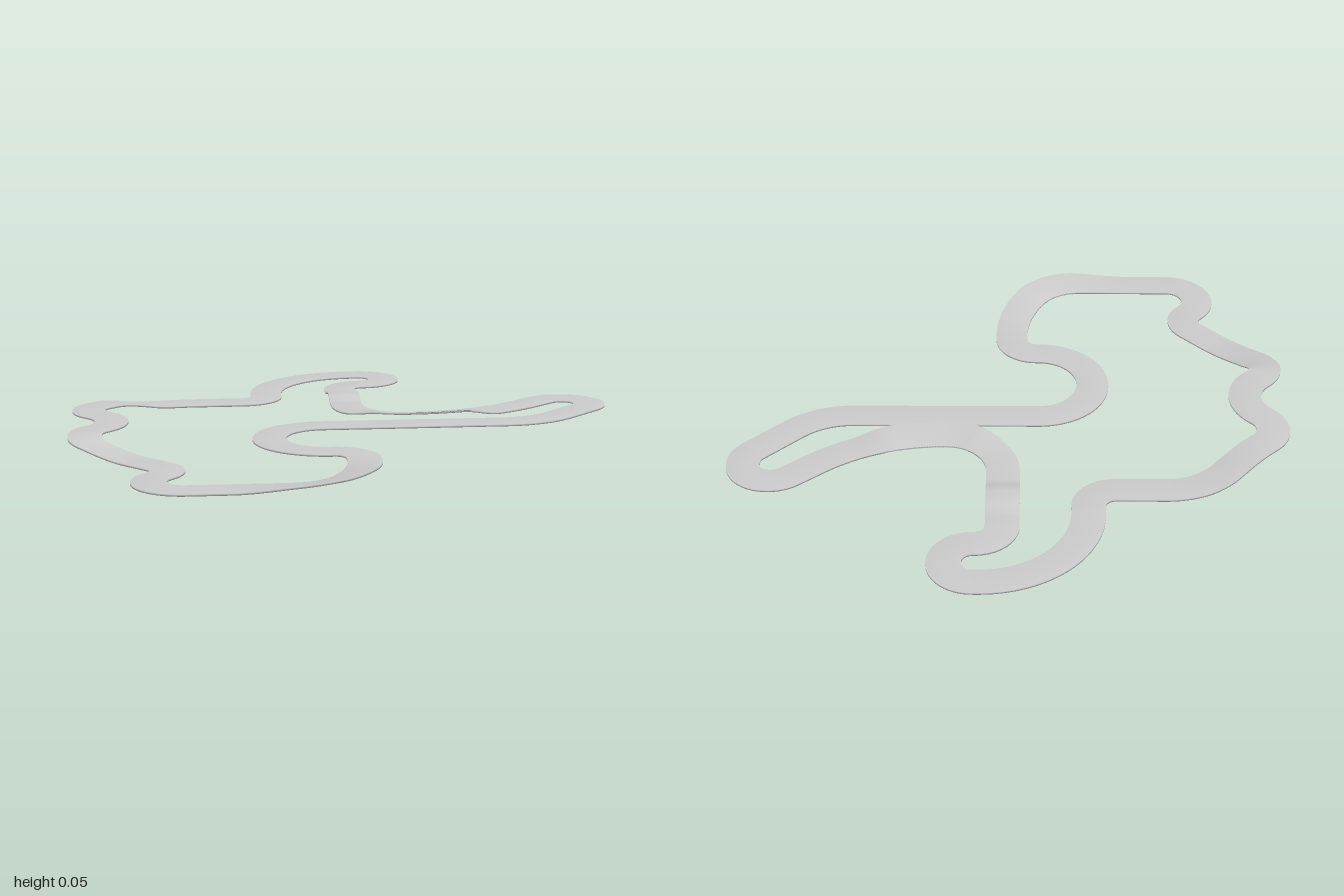
import * as THREE from 'three';

const HALF = 0.059;      // half width of the road
const THICK = 0.007;     // slab thickness
const RINGS = 720;       // cross-sections around the loop

// Corners of the centre line: x, z, bend radius
const CORNERS = [
  [-0.305, 0.013, 0.203], [-0.305, 0.42, 0.2], [-0.005, 0.42, 0.095],          // inner bends
  [-0.005, 0.67, 0.5], [-0.14, 0.911, 0.23],                                   // front sweep
  [-0.86, 0.907, 0.117], [-0.638, 0.64, 0.085],                                // chicane
  [-0.987, 0.268, 0.107], [-0.79, 0.072, 0.155], [-0.987, -0.123, 0.107],      // wavy side
  [-0.668, -0.422, 0.32], [-0.273, -0.422, 0.096],
  [-0.273, -0.914, 0.37], [0.214, -0.914, 0.097], [0.214, -0.717, 0.097],      // back loop
  [0.021, -0.717, 0.094], [0.021, -0.115, 0.203], [0.487, -0.115, 0.7],
  [0.797, -0.377, 0.096], [0.936, -0.377, 0.096], [0.936, -0.233, 0.096],      // far hairpin
  [0.69, 0.013, 0.3],
];

// Closed path of straights joined by arcs
function centreLine() {
  const path = new THREE.Path();
  const n = CORNERS.length;
  CORNERS.forEach(([x, z, r], i) => {
    const [px, pz] = CORNERS[(i + n - 1) % n], [qx, qz] = CORNERS[(i + 1) % n];
    const from = Math.atan2(z - pz, x - px), to = Math.atan2(qz - z, qx - x);
    const turn = Math.atan2(Math.sin(to - from), Math.cos(to - from));
    const side = Math.sign(turn), t = r * Math.tan(Math.abs(turn) / 2);
    const cx = x - t * Math.cos(from) - side * r * Math.sin(from);
    const cz = z - t * Math.sin(from) + side * r * Math.cos(from);
    const start = from - side * Math.PI / 2;
    path.absarc(cx, cz, r, start, start + turn, side < 0);
  });
  path.closePath();
  return path;
}

// Rises from a to b, stays level, falls from c to d
const plateau = (v, a, b, c, d) =>
  THREE.MathUtils.smoothstep(v, a, b) * (1 - THREE.MathUtils.smoothstep(v, c, d));

// Heights of the left and right road edges above the ground
function edgeLifts(x, z) {
  // raised wavy side
  if (x < -0.58) {
    const y = 0.044 * plateau(z, -0.43, -0.22, 0.2, 0.5);
    return [y, y];
  }
  // banked front sweep
  if (z > 0.5) {
    const rise = Math.min(THREE.MathUtils.smoothstep(z, 0.5, 0.85), THREE.MathUtils.smoothstep(x, -0.47, -0.15));
    return [0.022 * rise, 0];
  }
  // hump on the short straight
  if (Math.abs(x - 0.02) < 0.06 && z < -0.34 && z > -0.62) {
    const y = 0.018 * plateau(z, -0.57, -0.48, -0.45, -0.37);
    return [y, y];
  }
  // banked curve leading to the hairpin
  if (z < -0.08 && z > -0.35) return [0, 0.022 * plateau(x, 0.03, 0.14, 0.41, 0.55)];
  return [0, 0];
}

// Thin slab swept around the loop, four corners per cross-section
function roadGeometry() {
  const path = centreLine();
  const pos = [], index = [];
  for (let r = 0; r < RINGS; r++) {
    const c = path.getPoint(r / RINGS), d = path.getTangent(r / RINGS).multiplyScalar(HALF);
    const [yl, yr] = edgeLifts(c.x, c.y);
    const lx = c.x + d.y, lz = c.y - d.x, rx = c.x - d.y, rz = c.y + d.x;
    pos.push(lx, yl + THICK, lz, rx, yr + THICK, rz, rx, yr, rz, lx, yl, lz);
    const a = r * 4, b = ((r + 1) % RINGS) * 4;
    for (let k = 0; k < 4; k++) {
      const m = (k + 1) % 4;
      index.push(a + k, a + m, b + m, a + k, b + m, b + k);
    }
  }
  const g = new THREE.BufferGeometry();
  g.setAttribute('position', new THREE.Float32BufferAttribute(pos, 3));
  g.setIndex(index);
  g.computeVertexNormals();
  return g;
}

export function createModel() {
  const group = new THREE.Group();
  group.name = 'raceCircuit';
  const road = new THREE.Mesh(roadGeometry(), new THREE.MeshStandardMaterial({ color: 0xcccccc }));
  road.name = 'trackSurface';
  group.add(road);
  return group;
}
